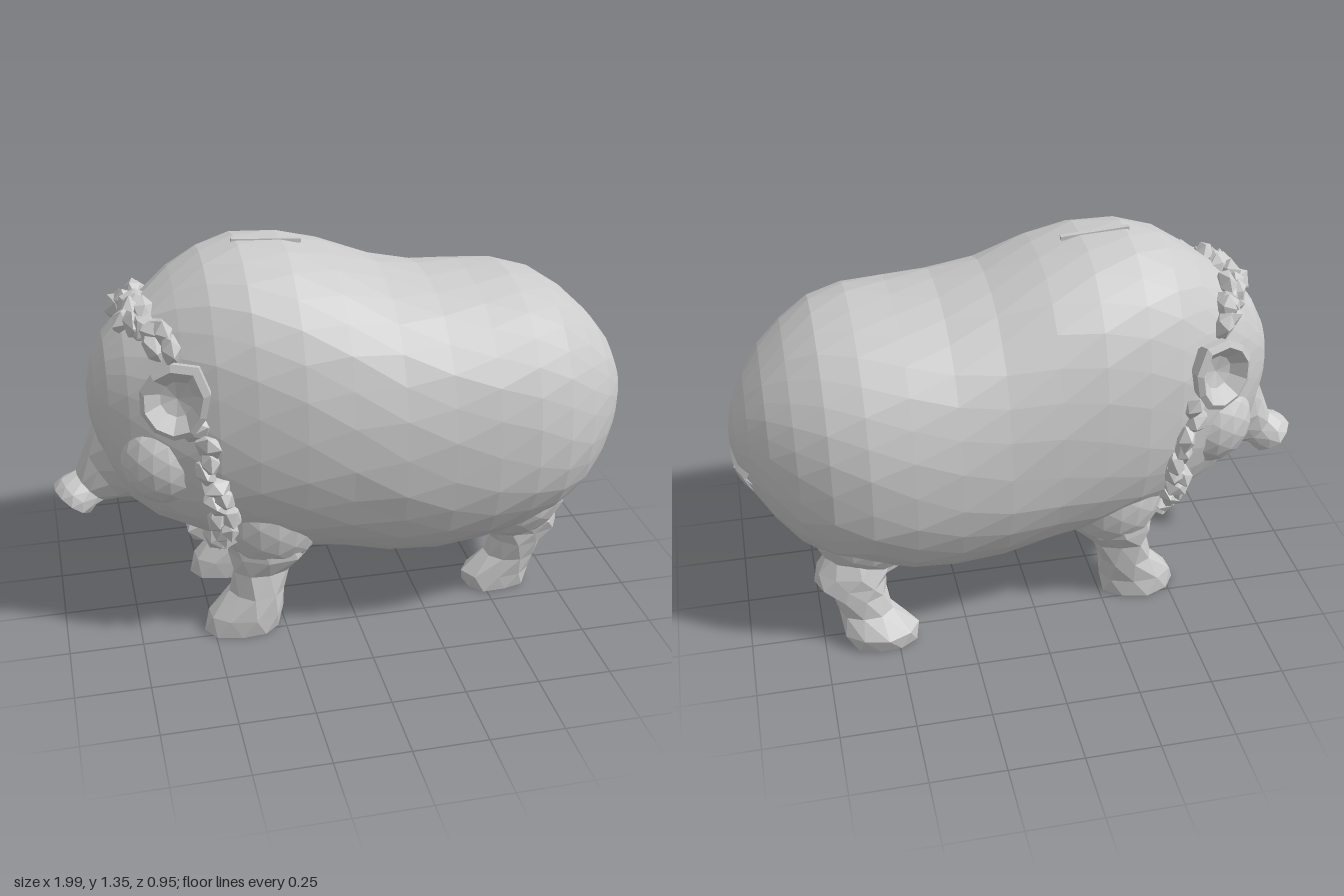
import * as THREE from 'three';

const mat = new THREE.MeshStandardMaterial({ color: 0xcccccc, flatShading: true, side: THREE.DoubleSide });
const V = (x, y, z) => new THREE.Vector3(x, y, z);

// Repeatable noise in -1..1
const noise = (n) => {
  const s = Math.sin(n * 127.1 + 11.7) * 43758.5453;
  return (s - Math.floor(s)) * 2 - 1;
};

// Cosine or sine bent towards a slightly squared oval
const bend = (c, power) => Math.sign(c) * Math.abs(c) ** (2 / power);
const FULL = 2.25;

function add(parent, name, geometry) {
  const mesh = new THREE.Mesh(geometry, mat);
  mesh.name = name;
  parent.add(mesh);
  return mesh;
}

// Skin oval rings [centre, u, v], each following the last along u x v
function loft(rings, segs, jitter, power = 2) {
  const pos = [], idx = [];
  rings.forEach(([c, u, v], r) => {
    for (let j = 0; j < segs; j++) {
      const a = ((j + (r % 2) * 0.5) / segs) * Math.PI * 2;
      const k = 1 + jitter * noise(r * segs + j);
      const p = c.clone().addScaledVector(u, bend(Math.cos(a), power) * k)
        .addScaledVector(v, bend(Math.sin(a), power) * k);
      pos.push(p.x, p.y, p.z);
    }
  });
  const last = rings.length - 1, top = rings.length * segs;
  pos.push(...rings[0][0].toArray(), ...rings[last][0].toArray());
  for (let j = 0; j < segs; j++) {
    const n = (j + 1) % segs;
    for (let r = 0; r < last; r++) {
      const a = r * segs, b = a + segs;
      // Alternate the diagonal to suit the half-step between rings
      if (r % 2) idx.push(a + j, a + n, b + n, a + j, b + n, b + j);
      else idx.push(a + j, a + n, b + j, a + n, b + n, b + j);
    }
    idx.push(top, n, j, top + 1, last * segs + j, last * segs + n);
  }
  const g = new THREE.BufferGeometry();
  g.setAttribute('position', new THREE.Float32BufferAttribute(pos, 3));
  g.setIndex(idx);
  g.computeVertexNormals();
  return g;
}

// Body and head outline: x, top, bottom, half width
const outline = [
  [-0.86, 0.89, 0.78, 0.05], [-0.84, 0.98, 0.69, 0.11], [-0.8, 1.06, 0.56, 0.16],
  [-0.74, 1.13, 0.47, 0.21], [-0.66, 1.19, 0.4, 0.26], [-0.57, 1.26, 0.36, 0.31],
  [-0.47, 1.32, 0.32, 0.362], [-0.35, 1.352, 0.28, 0.402], [-0.2, 1.345, 0.26, 0.432],
  [-0.05, 1.303, 0.24, 0.45], [0.12, 1.235, 0.21, 0.465], [0.28, 1.2, 0.2, 0.473],
  [0.43, 1.19, 0.215, 0.476], [0.57, 1.18, 0.25, 0.463], [0.69, 1.147, 0.285, 0.425],
  [0.79, 1.08, 0.35, 0.367], [0.87, 1.005, 0.44, 0.295], [0.93, 0.925, 0.53, 0.213],
  [0.975, 0.83, 0.62, 0.12], [0.995, 0.76, 0.69, 0.04],
];

// Point on the body at x, with angle t measured from the top
function onBody(x, t) {
  let i = 0;
  while (i < outline.length - 2 && outline[i + 1][0] < x) i++;
  const a = outline[i], b = outline[i + 1], f = (x - a[0]) / (b[0] - a[0]);
  const [top, bottom, w] = [1, 2, 3].map((k) => a[k] + (b[k] - a[k]) * f);
  return V(x, (top + bottom) / 2 + ((top - bottom) / 2) * bend(Math.cos(t), FULL), w * bend(Math.sin(t), FULL));
}

function ellipsoid(parent, name, p, s, detail) {
  const mesh = add(parent, name, new THREE.IcosahedronGeometry(1, detail));
  mesh.position.set(...p);
  mesh.scale.set(...s);
  return mesh;
}

// Leg sections: y, x, radius along x, radius along z, share of the foot's side shift
const hindLeg = [[0.37, 0.6, 0.1, 0.075, 0], [0.29, 0.635, 0.13, 0.1, 0.1], [0.245, 0.64, 0.125, 0.1, 0.2],
  [0.2, 0.62, 0.1, 0.085, 0.4], [0.13, 0.6, 0.095, 0.08, 0.6], [0.06, 0.56, 0.125, 0.088, 1], [0.005, 0.55, 0.115, 0.08, 1]];
const foreLeg = [[0.42, -0.29, 0.14, 0.12, 0], [0.3, -0.29, 0.14, 0.115, 0], [0.235, -0.325, 0.1, 0.09, 0.3],
  [0.15, -0.345, 0.1, 0.085, 0.6], [0.07, -0.385, 0.135, 0.092, 1], [0.005, -0.39, 0.13, 0.088, 1]];
const leg = (parent, name, sections, z, shift) => add(parent, name, loft(sections.map(
  ([y, x, rx, rz, k]) => [V(x, y, z + shift * k), V(rx, 0, 0), V(0, 0, rz)]), 9, 0.1));

const tube = (parent, name, points, r) => add(parent, name,
  new THREE.TubeGeometry(new THREE.CatmullRomCurve3(points.map((p) => V(...p))), 8, r, 5));

// Cupped ear, opening along z and drawn out to a tip at its upper back corner
function earGeometry(s) {
  const cup = [[0, -0.07], [0.07, -0.055], [0.11, 0], [0.118, 0.035], [0.098, 0.045], [0.055, 0], [0, -0.015]]
    .map(([x, y]) => new THREE.Vector2(x, y));
  const g = new THREE.LatheGeometry(cup, 10).rotateX(s * Math.PI / 2);
  const p = g.attributes.position;
  for (let i = 0; i < p.count; i++) {
    const a = Math.atan2(p.getY(i), p.getX(i));
    const k = 1 + 0.35 * Math.max(0, Math.cos(a - 0.9)) ** 4;
    p.setXY(i, p.getX(i) * k * 0.95, p.getY(i) * k * 1.05);
  }
  return g;
}

export function createModel() {
  const pig = new THREE.Group();
  pig.name = 'piggyBank';

  add(pig, 'body', loft(outline.map(([x, t, b, w]) =>
    [V(x, (t + b) / 2, 0), V(0, (t - b) / 2, 0), V(0, 0, w)]), 28, 0.008, FULL));

  // Snout: x, y, half height, half width, tilt of the ring
  const snout = [[-0.69, 0.62, 0.2, 0.17, 0.45], [-0.77, 0.6, 0.165, 0.13, 0.5], [-0.825, 0.56, 0.115, 0.085, 0.55],
    [-0.875, 0.51, 0.072, 0.06, 0.7], [-0.915, 0.495, 0.075, 0.08, 0.85], [-0.937, 0.468, 0.08, 0.085, 0.9]];
  add(pig, 'snout', loft(snout.map(([x, y, h, w, a]) =>
    [V(x, y, 0), V(-Math.sin(a) * h, Math.cos(a) * h, 0), V(0, 0, -w)]), 11, 0.04));

  // Garland of crumpled petals round the neck
  const garland = new THREE.Group();
  garland.name = 'garland';
  pig.add(garland);
  const count = 70;
  for (let i = 0; i < count; i++) {
    const t = (i / count) * Math.PI * 2, c = Math.cos(t);
    // Leave room for the ears
    if (c > 0.1 && c < 0.58) continue;
    const p = onBody(-0.52 - 0.13 * c - 0.06 * c * c + 0.03 * noise(i), t);
    const petal = ellipsoid(garland, 'petal', p.toArray(), [0.055, 0.06, 0.035], 0);
    petal.rotation.set(t + noise(i + 50), noise(i + 90) * 2, noise(i + 130));
  }
  ellipsoid(garland, 'pendant', [-0.5, 0.3, 0], [0.065, 0.06, 0.06], 0);

  for (const s of [1, -1]) {
    const side = s > 0 ? 'Front' : 'Back';
    ellipsoid(pig, 'cheek' + side, [-0.63, 0.68, s * 0.165], [0.15, 0.165, 0.135], 2);
    const ear = add(pig, 'ear' + side, earGeometry(s));
    ear.position.set(-0.6, 0.945, s * 0.31);
    ear.rotation.y = -s * 0.4;
    ellipsoid(pig, 'shoulder' + side, [-0.285, 0.45, s * 0.205], [0.18, 0.21, 0.135], 2);
    ellipsoid(pig, 'haunch' + side, [0.57, 0.45, s * 0.2], [0.2, 0.2, 0.15], 2);
  }

  leg(pig, 'foreLegFront', foreLeg, 0.19, 0.02);
  leg(pig, 'foreLegBack', foreLeg, -0.19, 0.01);
  leg(pig, 'hindLegFront', hindLeg, 0.14, -0.02);
  leg(pig, 'hindLegBack', hindLeg, -0.22, -0.08);

  // Tail pressed against the rump
  tube(pig, 'tail', [[0.965, 0.65, -0.08], [0.945, 0.58, -0.06], [0.905, 0.5, -0.03], [0.835, 0.41, -0.035], [0.755, 0.31, -0.05]], 0.028);
  tube(pig, 'tailTuft', [[0.945, 0.69, 0.11], [0.97, 0.66, 0.02], [0.963, 0.65, -0.09], [0.93, 0.66, -0.18]], 0.025);
  tube(pig, 'tailCurl', [[0.965, 0.65, -0.02], [0.95, 0.6, 0.03], [0.925, 0.54, 0.05]], 0.022);

  // Coin slot along the back
  const slot = add(pig, 'coinSlot', new THREE.BoxGeometry(0.23, 0.014, 0.018));
  slot.position.set(-0.25, 1.341, 0);
  slot.rotation.z = -0.07;
  return pig;
}
